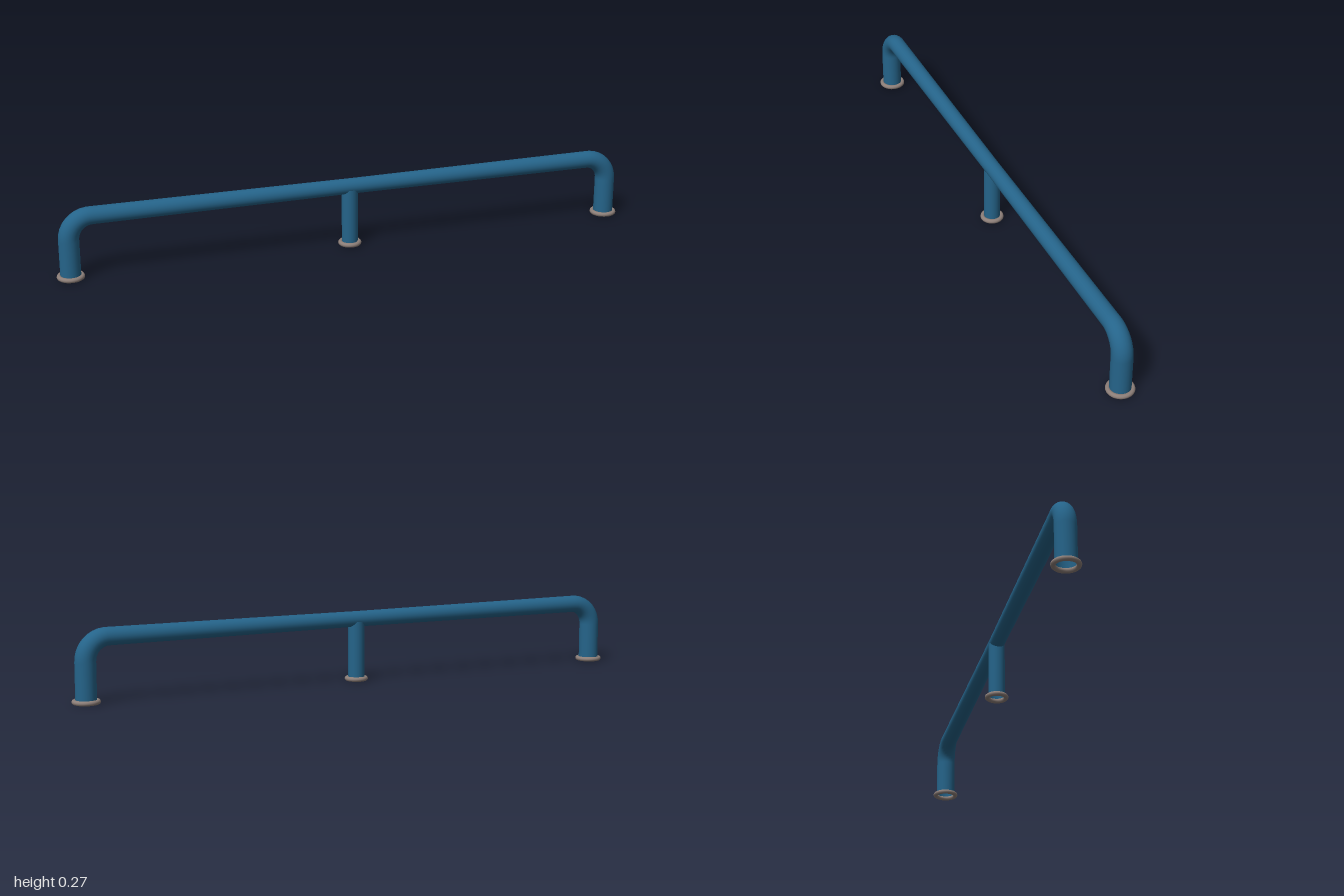
import * as THREE from 'three';

export function createModel() {
  const group = new THREE.Group();
  const blue = new THREE.MeshStandardMaterial({ color: 0x25648a, side: THREE.DoubleSide });
  blue.name = 'blue paint';
  const grey = new THREE.MeshStandardMaterial({ color: 0x8c7e78, side: THREE.DoubleSide });
  grey.name = 'grey metal';

  const add = (name, geometry, material, x = 0, y = 0, z = 0) => {
    const mesh = new THREE.Mesh(geometry, material);
    mesh.name = name;
    mesh.position.set(x, y, z);
    group.add(mesh);
    return mesh;
  };

  // The rail runs diagonally between two feet
  const footX = 0.948, footZ = -0.514;
  const half = Math.hypot(footX, footZ);
  const at = (s, y) => new THREE.Vector3(footX * s / half, y, footZ * s / half);

  // Path: up one leg, round the bend, along the bar and down the other leg
  const top = 0.239, bend = 0.085, k = bend * 0.448;
  const path = new THREE.CurvePath();
  path.add(new THREE.LineCurve3(at(-half, 0.008), at(-half, top - bend)));
  path.add(new THREE.CubicBezierCurve3(at(-half, top - bend), at(-half, top - k), at(-half + k, top), at(-half + bend, top)));
  path.add(new THREE.LineCurve3(at(-half + bend, top), at(half - bend, top)));
  path.add(new THREE.CubicBezierCurve3(at(half - bend, top), at(half - k, top), at(half, top - k), at(half, top - bend)));
  path.add(new THREE.LineCurve3(at(half, top - bend), at(half, 0.008)));

  // Unit tube, narrowed slightly towards the middle of the bar
  const segments = 160, sides = 24;
  const tube = new THREE.TubeGeometry(path, segments, 0.0385, sides, false);
  const pos = tube.attributes.position;
  const v = new THREE.Vector3();
  for (let i = 0; i <= segments; i++) {
    const c = path.getPointAt(i / segments);
    const d = Math.hypot(c.x, c.z);
    const straight = Math.min(d / (half - bend), 1);
    const curved = Math.max(0, (d - half + bend) / bend);
    const scale = (0.03 + 0.0035 * straight + 0.005 * curved) / 0.0385;
    for (let j = 0; j <= sides; j++) {
      const n = i * (sides + 1) + j;
      v.fromBufferAttribute(pos, n).sub(c).multiplyScalar(scale).add(c);
      pos.setXYZ(n, v.x, v.y, v.z);
    }
  }
  add('bentRail', tube, blue);

  // Open middle post
  add('middlePost', new THREE.CylinderGeometry(0.031, 0.031, 0.222, 24, 1, true), blue, 0, 0.119, 0);

  // Rounded collars around the feet
  const collar = (name, x, z, outer) => {
    const geometry = new THREE.TorusGeometry(outer - 0.009, 0.009, 12, 32);
    geometry.rotateX(Math.PI / 2);
    add(name, geometry, grey, x, 0.009, z);
  };
  collar('leftCollar', footX, footZ, 0.052);
  collar('rightCollar', -footX, -footZ, 0.052);
  collar('middleCollar', 0, 0, 0.045);

  return group;
}
